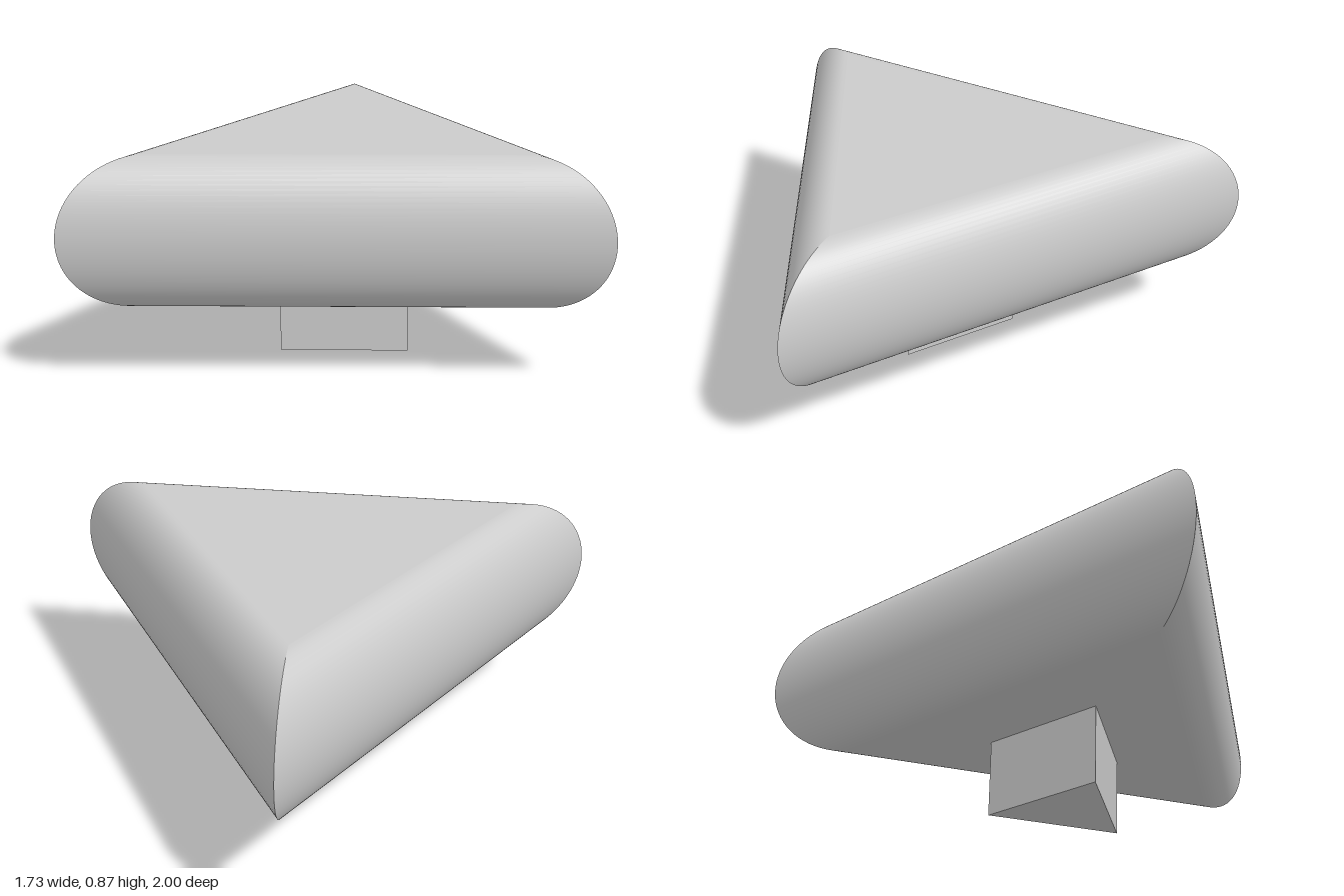
import * as THREE from 'three';
import { mergeGeometries } from 'three/addons/utils/BufferGeometryUtils.js';

const INRADIUS = 1 / Math.sqrt(3);   // triangle with sides of 2
const HALF_HEIGHT = INRADIUS / 2;
const BULGE = 1 / 6;                 // how far the rounded sides swell beyond the flat faces
const CENTRE_X = -INRADIUS / 2;

// One rounded side, facing +z, mitred at both ends
function roundedSide() {
  const side = new THREE.PlaneGeometry(1, 1, 1, 40);
  const p = side.attributes.position;
  for (let i = 0; i < p.count; i++) {
    const a = p.getY(i) * Math.PI;
    const inset = INRADIUS - BULGE * (1 - Math.cos(a));
    p.setXYZ(i, p.getX(i) * 2 * Math.sqrt(3) * inset, HALF_HEIGHT * Math.sin(a), inset);
  }
  side.computeVertexNormals();
  return side;
}

export function createModel() {
  const group = new THREE.Group();

  // Cushion: three rounded sides and two flat triangular faces
  const parts = [];
  for (let k = 0; k < 3; k++) {
    parts.push(roundedSide().rotateY(-Math.PI / 2 + k * Math.PI * 2 / 3));
  }
  for (const s of [1, -1]) {
    parts.push(new THREE.CircleGeometry(2 * (INRADIUS - BULGE), 3)
      .rotateX(-s * Math.PI / 2).translate(0, s * HALF_HEIGHT, 0));
  }
  const cushion = new THREE.Mesh(
    mergeGeometries(parts),
    new THREE.MeshStandardMaterial({ color: 0xcccccc })
  );
  cushion.name = 'roundedTriangleTop';
  cushion.position.set(CENTRE_X, 2 * HALF_HEIGHT, 0);
  group.add(cushion);

  // Stem: small triangular prism under the centre
  const stem = new THREE.Mesh(
    new THREE.CylinderGeometry(HALF_HEIGHT, HALF_HEIGHT, HALF_HEIGHT, 3).rotateY(Math.PI / 2),
    new THREE.MeshStandardMaterial({ color: 0xcccccc, flatShading: true })
  );
  stem.name = 'stem';
  stem.position.set(CENTRE_X, HALF_HEIGHT / 2, 0);
  group.add(stem);

  return group;
}
